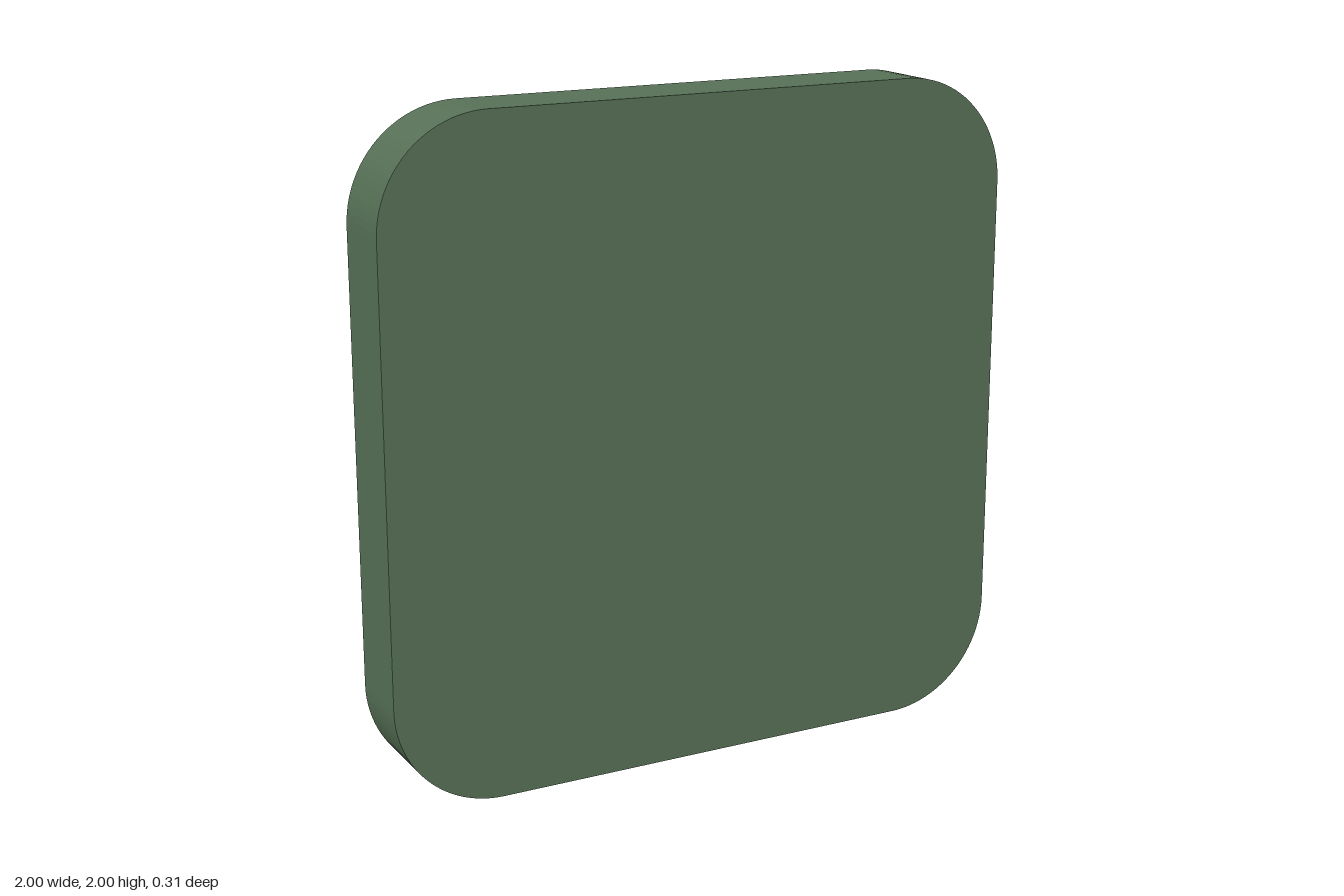
import * as THREE from 'three';

const rad = THREE.MathUtils.degToRad;
const BACK = -0.155, DEPTH = 0.09;

// Rounded rectangle centred on (cx, cy)
function roundedRect(cx, cy, w, h, r) {
  const s = new THREE.Shape();
  const x = w / 2 - r, y = h / 2 - r;
  s.absarc(cx + x, cy + y, r, 0, Math.PI / 2);
  s.absarc(cx - x, cy + y, r, Math.PI / 2, Math.PI);
  s.absarc(cx - x, cy - y, r, Math.PI, Math.PI * 1.5);
  s.absarc(cx + x, cy - y, r, Math.PI * 1.5, Math.PI * 2);
  s.closePath();
  return s;
}

function extrude(name, shape, z, depth, material, curveSegments = 12) {
  const geo = new THREE.ExtrudeGeometry(shape, { depth, bevelEnabled: false, curveSegments });
  geo.translate(0, 0, z);
  const mesh = new THREE.Mesh(geo, material);
  mesh.name = name;
  return mesh;
}

// One glass wall, mirrored above and below the neck
function wallShape(side) {
  const outer = [[0.388, 1.6], [0.378, 1.45], [0.343, 1.32], [0.29, 1.2], [0.215, 1.095], [0.158, 1.035]];
  const inner = [[0.32, 1.6], [0.308, 1.44], [0.275, 1.32], [0.222, 1.21], [0.15, 1.115], [0.08, 1.05]];
  const full = (pts, neck) => {
    const all = [...pts, neck, ...pts.map(([x, y]) => [x, 2 - y]).reverse()];
    const curve = new THREE.CatmullRomCurve3(all.map(([x, y]) => new THREE.Vector3(side * x, y, 0)));
    return curve.getPoints(72).map(p => new THREE.Vector2(p.x, p.y));
  };
  return new THREE.Shape([...full(outer, [0.142, 1]), ...full(inner, [0.06, 1]).reverse()]);
}

// Swirling drop with an eye hole, and the loose dot in its curl
function addDrop(group, name, cx, cy, deg, material) {
  const R = 0.222, a = rad(deg), b = a - Math.PI;
  const ux = Math.cos(a) * R / 2, uy = Math.sin(a) * R / 2;
  const s = new THREE.Shape();
  s.absarc(cx, cy, R, a, b, true);
  s.absarc(cx - ux, cy - uy, R / 2, b, b - Math.PI, true);
  s.absarc(cx + ux, cy + uy, R / 2, b, a, false);
  const eye = new THREE.Path();
  eye.absarc(cx - ux, cy - uy, 0.056, 0, Math.PI * 2, true);
  s.holes.push(eye);
  group.add(extrude(name + 'Drop', s, BACK, DEPTH, material, 20));

  const dot = new THREE.Shape();
  dot.absarc(cx + ux, cy + uy, 0.052, 0, Math.PI * 2);
  group.add(extrude(name + 'Dot', dot, BACK, DEPTH, material, 16));
}

export function createModel() {
  const plateGreen = new THREE.MeshStandardMaterial({ color: 0x567056 });
  plateGreen.name = 'darkGreen';
  const emblemGreen = new THREE.MeshStandardMaterial({ color: 0x81a67b });
  emblemGreen.name = 'lightGreen';

  const model = new THREE.Group();
  model.name = 'hourglassTile';

  // Base plate
  model.add(extrude('plate', roundedRect(0, 1, 2, 2, 0.33), -0.07, 0.228, plateGreen));

  // Raised hourglass on the back
  const hourglass = new THREE.Group();
  hourglass.name = 'hourglass';
  model.add(hourglass);
  for (const [name, y] of [['topBar', 1.641], ['bottomBar', 0.364]]) {
    hourglass.add(extrude(name, roundedRect(0, y, 0.912, 0.118, 0.052), BACK, DEPTH, emblemGreen, 8));
  }
  for (const [name, side] of [['leftWall', 1], ['rightWall', -1]]) {
    hourglass.add(extrude(name, wallShape(side), BACK, DEPTH, emblemGreen));
  }

  // Two drops, the lower one turned half round
  addDrop(hourglass, 'upper', -0.015, 1.362, 40, emblemGreen);
  addDrop(hourglass, 'lower', 0.015, 0.638, 220, emblemGreen);
  return model;
}
